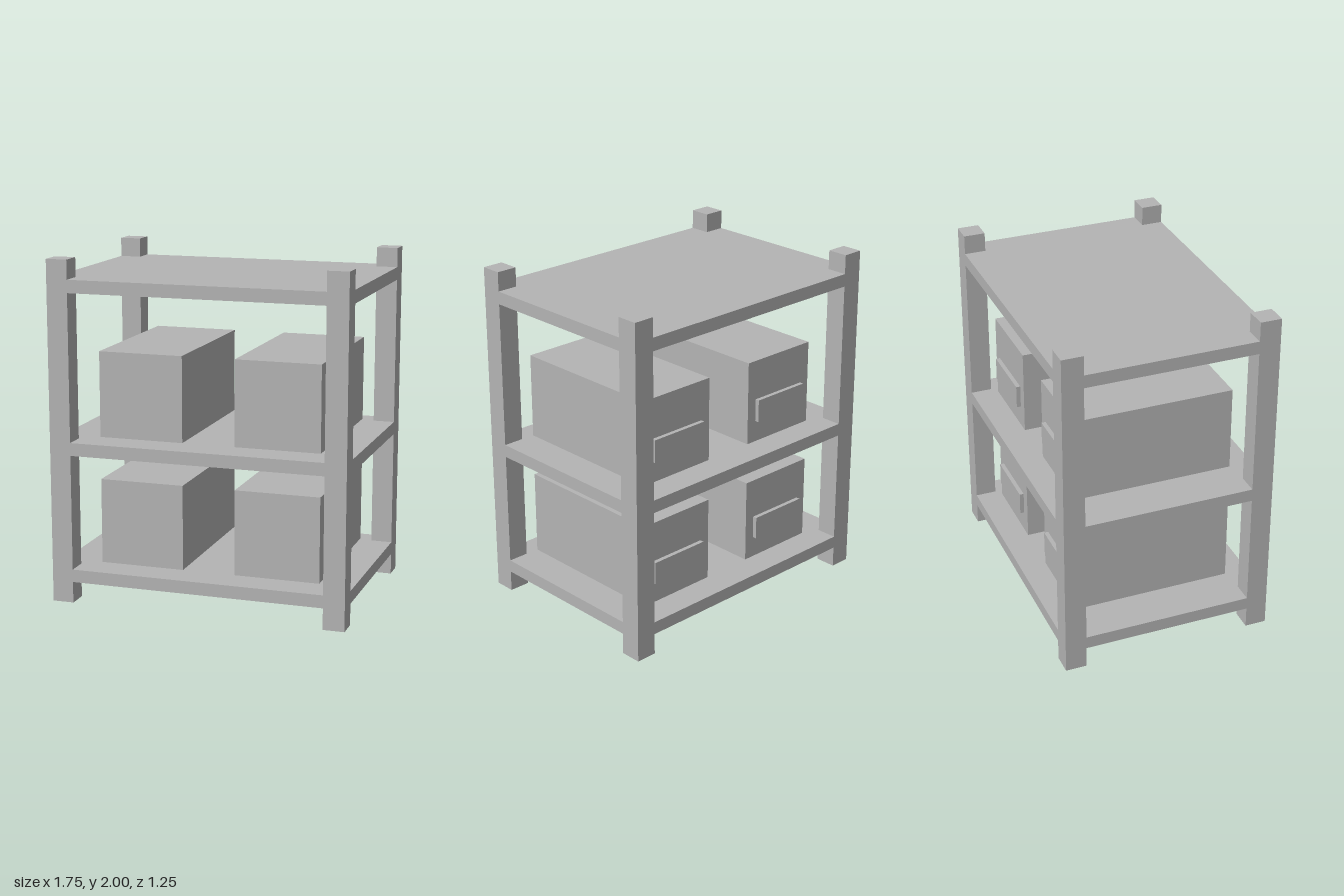
import * as THREE from 'three';

const grey = new THREE.MeshStandardMaterial({ color: 0xb4b4b4 });
grey.name = 'grey';

// Outer half width, outer half depth and post thickness
const W = 0.875, D = 0.625, P = 0.125;

function box(name, w, h, d, x, y, z) {
  const mesh = new THREE.Mesh(new THREE.BoxGeometry(w, h, d), grey);
  mesh.name = name;
  mesh.position.set(x, y, z);
  return mesh;
}

// Flat board with its corners notched out around the posts
function shelf(name, bottom) {
  const w = W - P, d = D - P;
  const outline = [
    [-w, -D], [w, -D], [w, -d], [W, -d], [W, d], [w, d],
    [w, D], [-w, D], [-w, d], [-W, d], [-W, -d], [-w, -d],
  ].map(([x, z]) => new THREE.Vector2(x, z));
  const geometry = new THREE.ExtrudeGeometry(new THREE.Shape(outline), { depth: 0.075, bevelEnabled: false });
  geometry.rotateX(-Math.PI / 2);
  const mesh = new THREE.Mesh(geometry, grey);
  mesh.name = name;
  mesh.position.y = bottom;
  return mesh;
}

// Storage box with a raised label plate on its back
function crate(name, x, bottom) {
  const group = new THREE.Group();
  group.name = name;
  group.position.set(x, bottom, 0);
  group.add(box('crateBody', 0.5, 0.5, 0.95, 0, 0.25, 0));
  group.add(box('labelPlate', 0.375, 0.135, 0.025, 0, 0.195, -0.4875));
  return group;
}

export function createModel() {
  const model = new THREE.Group();
  model.name = 'storageRack';

  // Corner posts
  for (const [side, x] of [['Left', 1], ['Right', -1]]) {
    for (const [end, z] of [['front', 1], ['back', -1]]) {
      model.add(box(`${end}${side}Post`, P, 2, P, x * (W - P / 2), 1, z * (D - P / 2)));
    }
  }

  // Shelves
  model.add(shelf('lowerShelf', 0.125), shelf('middleShelf', 0.8775), shelf('topShelf', 1.8125));

  // Two crates on each of the lower shelves
  for (const [level, y] of [['lower', 0.215], ['upper', 0.965]]) {
    model.add(crate(`${level}RightCrate`, -0.375, y));
    model.add(crate(`${level}LeftCrate`, 0.4375, y));
  }
  return model;
}
